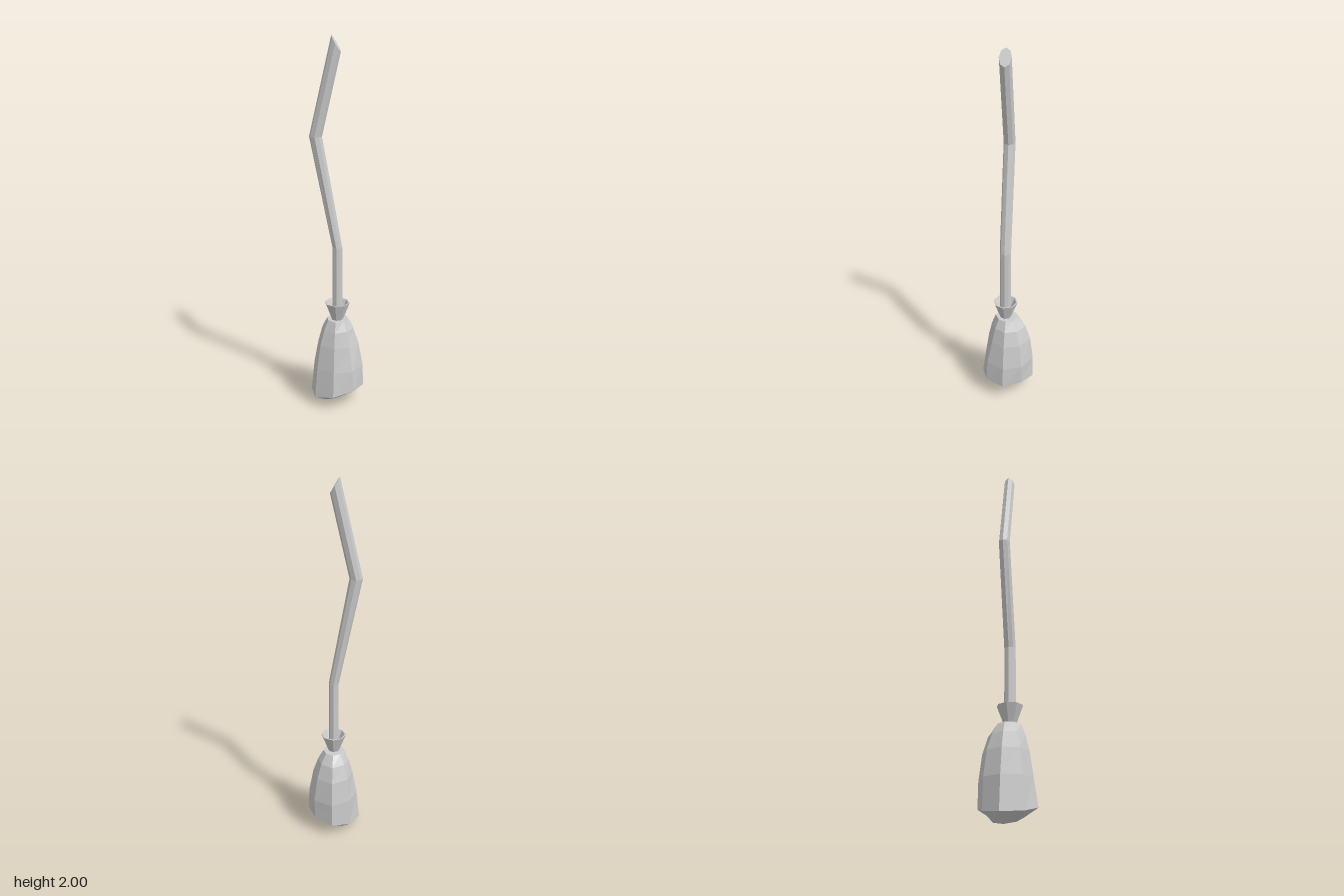
import * as THREE from 'three';

const SIDES = 8;
const material = new THREE.MeshStandardMaterial({ color: 0xcccccc, flatShading: true, side: THREE.DoubleSide });

// Ring of points; angle runs from +x towards +z
function ring(pointAt) {
  return Array.from({ length: SIDES }, (_, k) => {
    const a = (k / SIDES) * Math.PI * 2;
    return pointAt(Math.cos(a), Math.sin(a), k);
  });
}

// Skin rings from bottom to top and close both ends with fans
function loft(rings) {
  const index = [];
  const n = rings.length;
  const centre = (r) => [0, 1, 2].map((j) => r.reduce((s, p) => s + p[j], 0) / SIDES);
  const points = [...rings.flat(), centre(rings[0]), centre(rings[n - 1])];
  for (let k = 0; k < SIDES; k++) {
    const next = (k + 1) % SIDES;
    for (let i = 0; i < n - 1; i++) {
      const a = i * SIDES + k, b = i * SIDES + next;
      index.push(a, a + SIDES, b, b, a + SIDES, b + SIDES);
    }
    const top = (n - 1) * SIDES;
    index.push(n * SIDES, k, next, n * SIDES + 1, top + next, top + k);
  }
  const geometry = new THREE.BufferGeometry();
  geometry.setAttribute('position', new THREE.Float32BufferAttribute(points.flat(), 3));
  geometry.setIndex(index);
  geometry.computeVertexNormals();
  return geometry;
}

export function createModel() {
  const group = new THREE.Group();
  const add = (name, geometry) => {
    const mesh = new THREE.Mesh(geometry, material);
    mesh.name = name;
    group.add(mesh);
    return mesh;
  };
  const axisZ = 0.012;

  // Crooked handle: centre x, centre y, half width in x, tilt of the ring
  const handleRings = [
    [0, 0.48, 0.028, 0],
    [0, 0.91, 0.027, 0],
    [-0.113, 1.5, 0.034, 0],
    [-0.006, 1.96, 0.024, -0.04],
  ];
  add('handle', loft(handleRings.map(([x, y, rx, tilt]) =>
    ring((c, s) => [x + rx * c, y + tilt * c, axisZ + 0.031 * s]))));

  // Flared binding collar with a thin lip and hollow inside
  const collarProfile = [[0.03, 0.49], [0.069, 0.593], [0.062, 0.593], [0.028, 0.525]];
  const collar = add('collar', new THREE.LatheGeometry(
    collarProfile.map(([r, y]) => new THREE.Vector2(r, y)), SIDES));
  collar.position.z = axisZ;

  // Uneven bristle bundle: radii per direction, with a slanted underside
  const rimY = [0.095, 0.105, 0.08, 0.05, 0.045, 0.06, 0.085, 0.105];
  const rimR = [0.146, 0.15, 0.15, 0.155, 0.15, 0.138, 0.152, 0.142];
  const upper = [
    [0.22, [0.142, 0.14, 0.13, 0.138, 0.133, 0.135, 0.15, 0.145]],
    [0.355, [0.117, 0.106, 0.11, 0.117, 0.108, 0.117, 0.132, 0.122]],
    [0.44, [0.088, 0.085, 0.09, 0.09, 0.085, 0.088, 0.103, 0.092]],
    [0.495, [0.058, 0.06, 0.07, 0.063, 0.058, 0.056, 0.06, 0.056]],
  ];
  add('bristles', loft([
    ring((c, s) => [0.075 * c, 0.038 + 0.038 * c, 0.08 * s]),
    ring((c, s, k) => [rimR[k] * c, rimY[k], rimR[k] * s]),
    ...upper.map(([y, r]) => ring((c, s, k) => [r[k] * c, y, r[k] * s])),
  ]));

  return group;
}
